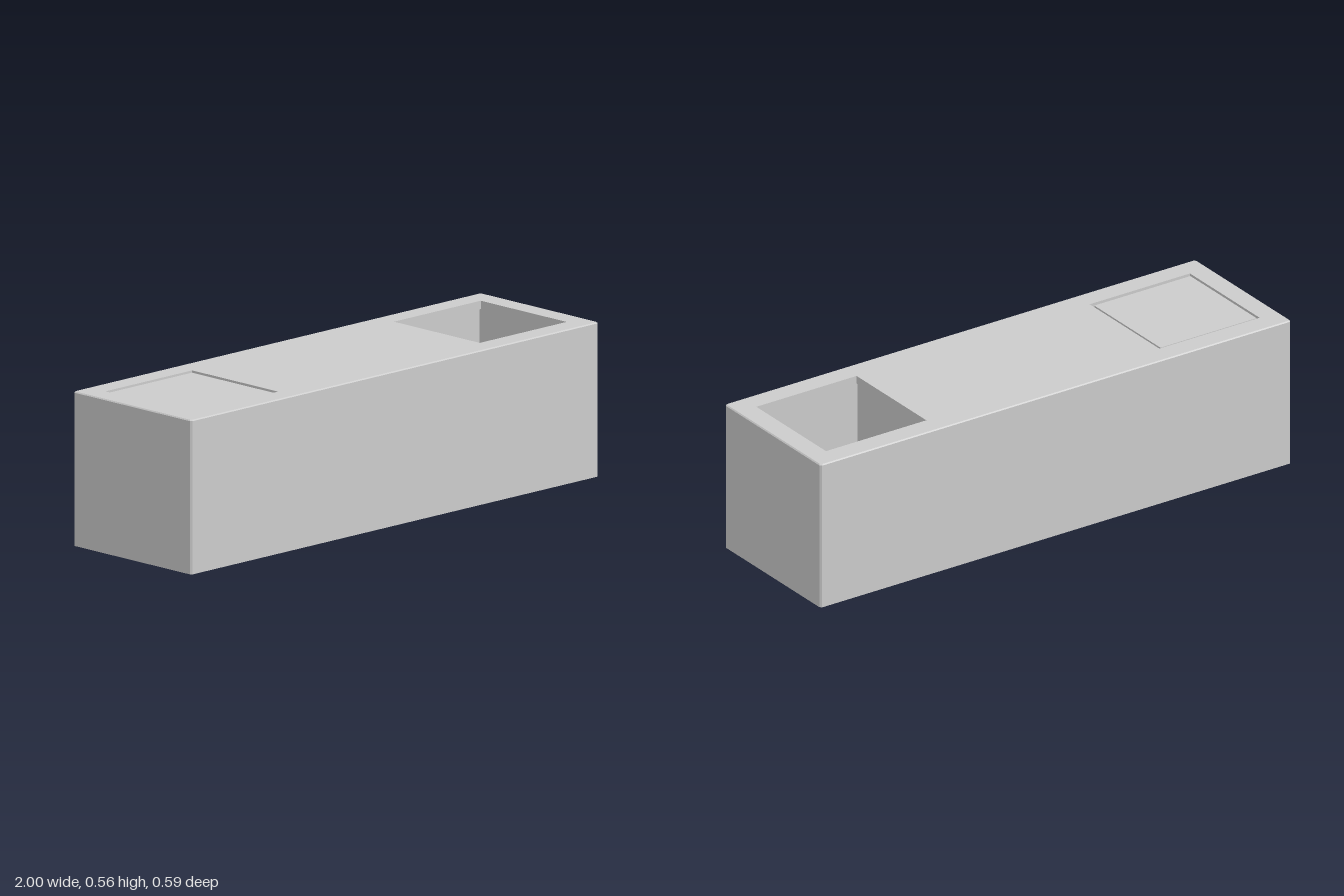
import * as THREE from 'three';

const HX = 1, HZ = 0.293, H = 0.555;   // half length, half depth, height
const CX = 0.708, HOLE = 0.213;        // hole centre and half size

// Rectangle outline with cut corners (plain corners when cut is 0)
function outline(hx, hz, cut = 0) {
  const points = [];
  for (const [sx, sz] of [[1, 1], [1, -1], [-1, -1], [-1, 1]]) {
    const a = [sx * hx, sz * (hz - cut)], b = [sx * (hx - cut), sz * hz];
    if (cut === 0) points.push([sx * hx, sz * hz]);
    else points.push(...(sx * sz > 0 ? [b, a] : [a, b]));
  }
  return points;
}

// Flat-sided open wall through outlines stacked at given heights
function wall(levels) {
  const positions = [];
  for (let k = 0; k + 1 < levels.length; k++) {
    const [lo, y0] = levels[k], [hi, y1] = levels[k + 1];
    for (let i = 0; i < lo.length; i++) {
      const j = (i + 1) % lo.length;
      const a = [lo[i][0], y0, lo[i][1]], b = [lo[j][0], y0, lo[j][1]];
      const c = [hi[j][0], y1, hi[j][1]], d = [hi[i][0], y1, hi[i][1]];
      positions.push(...a, ...b, ...c, ...a, ...c, ...d);
    }
  }
  const geometry = new THREE.BufferGeometry();
  geometry.setAttribute('position', new THREE.Float32BufferAttribute(positions, 3));
  geometry.computeVertexNormals();
  return geometry;
}

export function createModel() {
  const group = new THREE.Group();
  const material = new THREE.MeshStandardMaterial({
    color: 0xcccccc, flatShading: true, side: THREE.DoubleSide,
  });
  const add = (name, geometry, x = 0, y = 0, z = 0) => {
    const mesh = new THREE.Mesh(geometry, material);
    mesh.name = name;
    mesh.position.set(x, y, z);
    group.add(mesh);
  };

  // Outer shell, open underneath, with narrow chamfers
  const side = outline(HX, HZ, 0.007);
  const topEdge = outline(HX - 0.004, HZ - 0.004, 0.007);
  add('outerShell', wall([[side, 0], [side, H - 0.004], [topEdge, H]]));

  // Top panel with two square openings
  const panel = new THREE.Shape(topEdge.map(([x, z]) => new THREE.Vector2(x, -z)));
  const square = outline(HOLE, HOLE);
  for (const s of [-1, 1]) {
    panel.holes.push(new THREE.Path(square.map(([x, z]) => new THREE.Vector2(s * CX + x, z))));
  }
  add('topPanel', new THREE.ShapeGeometry(panel).rotateX(-Math.PI / 2), 0, H, 0);

  // Rim and hanging liner of each opening; the liner sits slightly back
  for (const [s, label] of [[1, 'left'], [-1, 'right']]) {
    add(label + 'Rim', wall([[square, H - 0.03], [square, H]]), s * CX);
    add(label + 'Liner', wall([[square, 0.025], [square, H - 0.03]]), s * CX, 0, -0.007);
  }

  // Loose lid in the right opening
  add('lid', new THREE.BoxGeometry(0.408, 0.025, 0.404), -CX - 0.003, H - 0.0165, 0);

  return group;
}
